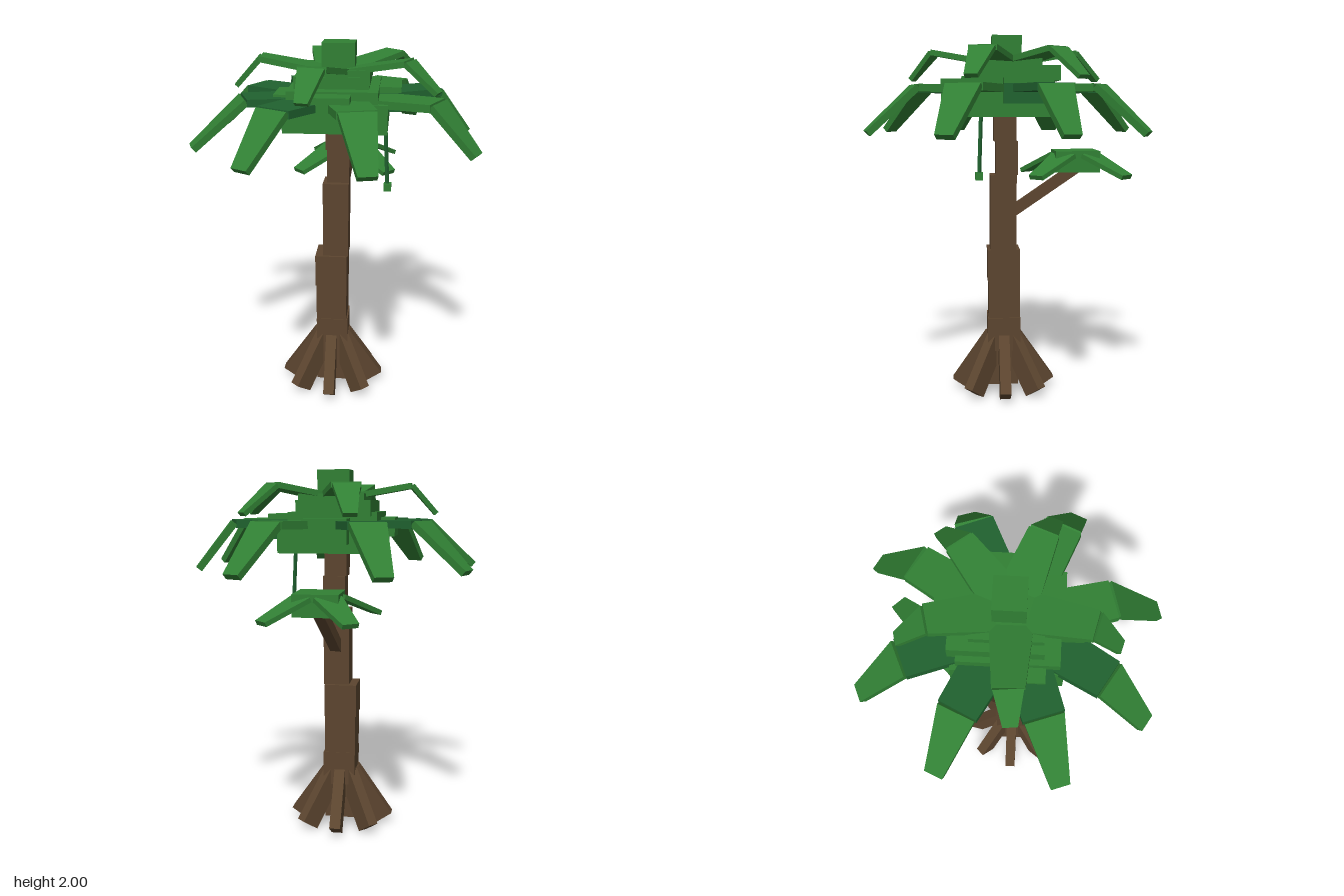
import * as THREE from 'three';

const bark = new THREE.MeshStandardMaterial({ color: 0x5c452f, name: 'bark brown', flatShading: true });
const leaf = new THREE.MeshStandardMaterial({ color: 0x318034, name: 'leaf green', flatShading: true });
const shade = new THREE.MeshStandardMaterial({ color: 0x20622f, name: 'deep green', flatShading: true });

// Axis-aligned block from its extents
function block(name, mat, [x0, x1], [y0, y1], [z0, z1]) {
  const m = new THREE.Mesh(new THREE.BoxGeometry(x1 - x0, y1 - y0, z1 - z0), mat);
  m.position.set((x0 + x1) / 2, (y0 + y1) / 2, (z0 + z1) / 2);
  m.name = name;
  return m;
}

// Straight slab from a to b, tapering from width wa to wb, with thickness t
function slab(name, mat, a, b, wa, wb, t) {
  const A = new THREE.Vector3(...a), B = new THREE.Vector3(...b);
  const d = B.clone().sub(A).normalize();
  const s = new THREE.Vector3(0, 1, 0).cross(d).normalize();
  const u = d.clone().cross(s);
  const g = new THREE.BoxGeometry(1, 1, 1);
  const p = g.attributes.position, v = new THREE.Vector3();
  for (let i = 0; i < p.count; i++) {
    const k = p.getZ(i) + 0.5;
    v.lerpVectors(A, B, k)
      .addScaledVector(s, p.getX(i) * (wa + (wb - wa) * k))
      .addScaledVector(u, p.getY(i) * t);
    p.setXYZ(i, v.x, v.y, v.z);
  }
  g.computeVertexNormals();
  const m = new THREE.Mesh(g, mat);
  m.name = name;
  return m;
}

export function createModel() {
  const tree = new THREE.Group();
  tree.name = 'palmTree';

  // Trunk: stacked, slightly shifted blocks
  const trunk = new THREE.Group();
  trunk.name = 'trunk';
  [
    [[-0.11, 0.06], [0.05, 0.25], [-0.075, 0.095]],
    [[-0.11, 0.068], [0.25, 0.44], [-0.088, 0.095]],
    [[-0.11, 0.06], [0.44, 0.65], [-0.085, 0.09]],
    [[-0.115, 0.062], [0.65, 0.83], [-0.085, 0.095]],
    [[-0.072, 0.068], [0.83, 1.04], [-0.065, 0.08]],
    [[-0.072, 0.07], [1.04, 1.25], [-0.065, 0.08]],
    [[-0.05, 0.07], [1.25, 1.435], [-0.072, 0.048]],
    [[-0.058, 0.065], [1.435, 1.62], [-0.063, 0.06]],
  ].forEach(([x, y, z]) => trunk.add(block('trunkBlock', bark, x, y, z)));
  tree.add(trunk);

  // Eight splayed roots
  const roots = new THREE.Group();
  roots.name = 'roots';
  for (let i = 0; i < 8; i++) {
    const c = Math.cos(i * Math.PI / 4), s = Math.sin(i * Math.PI / 4);
    const at = (r, y) => [-0.025 + r * c, y, 0.005 + r * s];
    roots.add(slab('root', bark, at(0.055, 0.31), at(0.245, 0.035), 0.06, 0.06, 0.11));
  }
  tree.add(roots);

  // Crown: stacked leaf blocks and small side lumps
  const crown = new THREE.Group();
  crown.name = 'crown';
  [
    [leaf, [-0.26, 0.275], [1.57, 1.72], [-0.28, 0.255]],
    [leaf, [-0.24, 0.225], [1.70, 1.78], [-0.25, 0.235]],
    [leaf, [-0.21, 0.175], [1.76, 1.84], [-0.29, 0.16]],
    [leaf, [-0.165, 0.18], [1.8, 1.875], [-0.19, 0.155]],
    [leaf, [-0.075, 0.097], [1.86, 2.0], [-0.088, 0.07]],
    [leaf, [-0.1, 0.09], [1.65, 1.77], [0.2, 0.345]],
    [leaf, [-0.1, 0.13], [1.62, 1.75], [-0.375, -0.2]],
    [leaf, [-0.315, -0.2], [1.65, 1.75], [-0.05, 0.17]],
    [shade, [0.2, 0.34], [1.64, 1.74], [-0.22, 0.02]],
    [leaf, [0.2, 0.34], [1.74, 1.77], [-0.2, 0.02]],
  ].forEach(([m, x, y, z]) => crown.add(block('crownBlock', m, x, y, z)));
  tree.add(crown);

  // Lower fronds: [bend x, bend z, tip x, tip z, inner colour]
  const lower = new THREE.Group();
  lower.name = 'lowerFronds';
  [
    [-0.22, -0.51, -0.32, -0.73, shade],
    [-0.46, -0.225, -0.7, -0.33, shade],
    [-0.466, 0.17, -0.725, 0.265, shade],
    [-0.27, 0.46, -0.395, 0.665, shade],
    [0.135, 0.48, 0.2, 0.73, leaf],
    [0.52, 0.225, 0.72, 0.315, leaf],
    [0.52, -0.217, 0.7, -0.277, shade],
    [0.28, -0.48, 0.395, -0.71, leaf],
  ].forEach(([bx, bz, tx, tz, m]) => {
    lower.add(slab('frondBase', m, [bx * 0.3, 1.715, bz * 0.3], [bx, 1.72, bz], 0.23, 0.2, 0.04));
    lower.add(slab('frondTip', leaf, [bx, 1.725, bz], [tx, 1.485, tz], 0.19, 0.095, 0.035));
  });
  tree.add(lower);

  // Upper fronds: rise to the bend, then droop
  const upper = new THREE.Group();
  upper.name = 'upperFronds';
  [
    [-0.1, -0.385, -0.14, -0.53],
    [0.3, -0.26, 0.435, -0.37],
    [-0.4, 0.005, -0.53, 0.02],
    [-0.09, 0.385, -0.125, 0.51],
    [0.375, 0.13, 0.525, 0.19],
  ].forEach(([bx, bz, tx, tz]) => {
    upper.add(slab('frondBase', leaf, [bx * 0.15, 1.855, bz * 0.15], [bx, 1.915, bz], 0.21, 0.15, 0.03));
    upper.add(slab('frondTip', leaf, [bx, 1.915, bz], [tx, 1.77, tz], 0.14, 0.07, 0.025));
  });
  tree.add(upper);

  // Side branch at the back with its own leaf clump
  const branch = new THREE.Group();
  branch.name = 'sideBranch';
  branch.add(slab('branch', bark, [0.0, 1.03, -0.03], [0.035, 1.29, -0.4], 0.06, 0.06, 0.06));
  branch.add(block('branchClump', leaf, [-0.08, 0.155], [1.27, 1.385], [-0.51, -0.27]));
  [[-0.16, -0.65], [0.28, -0.63], [0.28, -0.15], [-0.23, -0.14]].forEach(([x, z]) => {
    const near = [0.04 + (x - 0.04) * 0.3, 1.36, -0.39 + (z + 0.39) * 0.3];
    branch.add(slab('branchLeaf', leaf, near, [x, 1.255, z], 0.16, 0.09, 0.025));
  });
  tree.add(branch);

  // Hanging vine with a small bud
  const vine = new THREE.Group();
  vine.name = 'vine';
  vine.add(slab('vineStem', shade, [0.262, 1.6, 0.135], [0.28, 1.26, 0.147], 0.015, 0.015, 0.015));
  vine.add(block('vineBud', leaf, [0.26, 0.3], [1.245, 1.285], [0.127, 0.167]));
  tree.add(vine);

  return tree;
}
